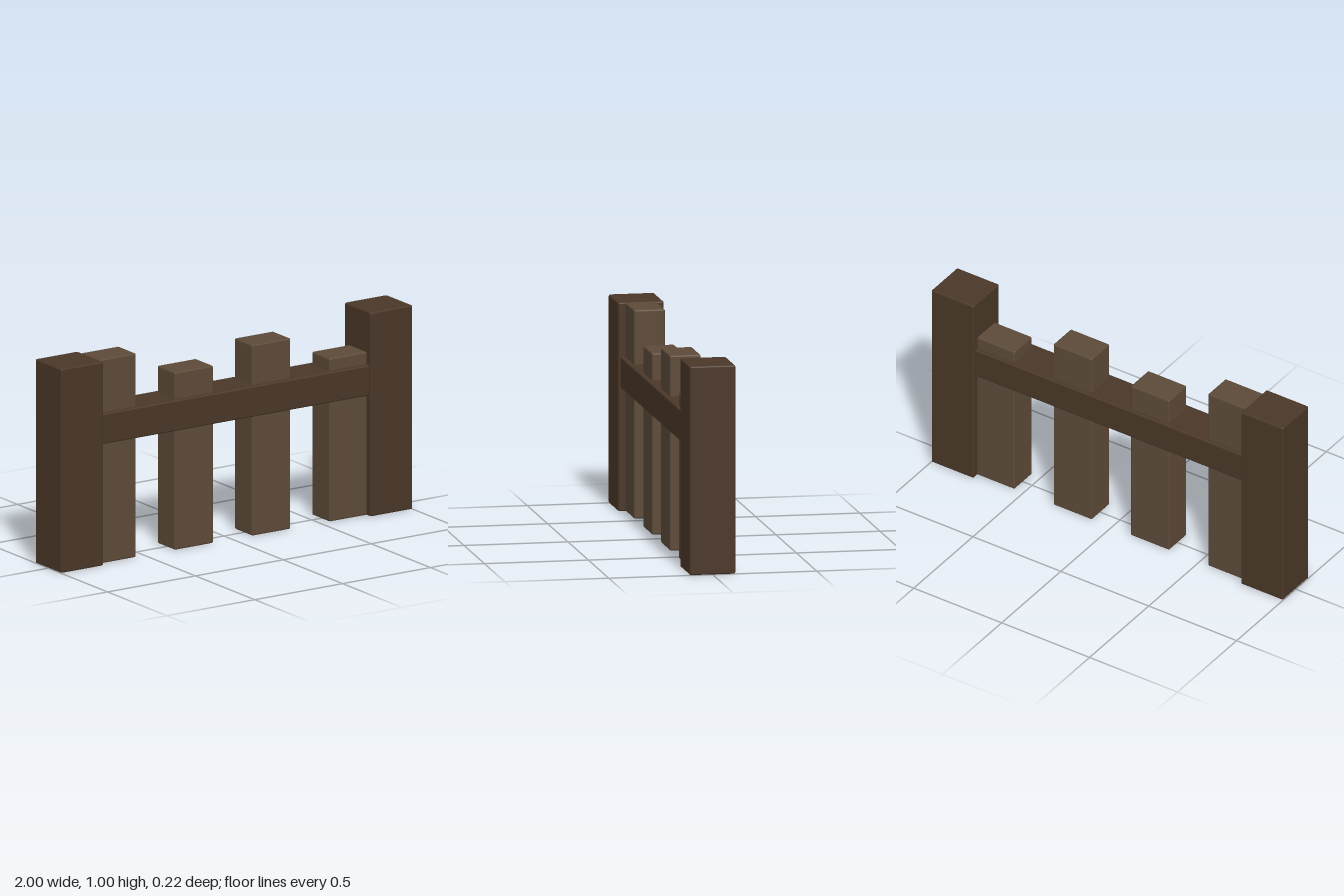
import * as THREE from 'three';
import { RoundedBoxGeometry } from 'three/addons/geometries/RoundedBoxGeometry.js';

export function createModel() {
  const group = new THREE.Group();
  const darkWood = new THREE.MeshStandardMaterial({ color: 0x4a3728 });
  const lightWood = new THREE.MeshStandardMaterial({ color: 0x5c4a38 });

  // Softly rounded timber, placed by its bottom centre
  function timber(name, width, height, depth, x, bottom, material) {
    const mesh = new THREE.Mesh(new RoundedBoxGeometry(width, height, depth, 2, 0.008), material);
    mesh.name = name;
    mesh.position.set(x, bottom + height / 2, 0);
    group.add(mesh);
  }

  // End posts
  timber('leftPost', 0.24, 1, 0.22, 0.88, 0, darkWood);
  timber('rightPost', 0.24, 1, 0.22, -0.88, 0, darkWood);

  // Cross rail, thicker than the pickets it carries
  timber('rail', 1.54, 0.15, 0.195, 0, 0.59, darkWood);

  // Pickets of uneven height
  [1, 0.87, 0.935, 0.8].forEach((height, i) => {
    timber('picket' + (i + 1), 0.22, height, 0.15, -0.66 + i * 0.44, 0, lightWood);
  });

  return group;
}
